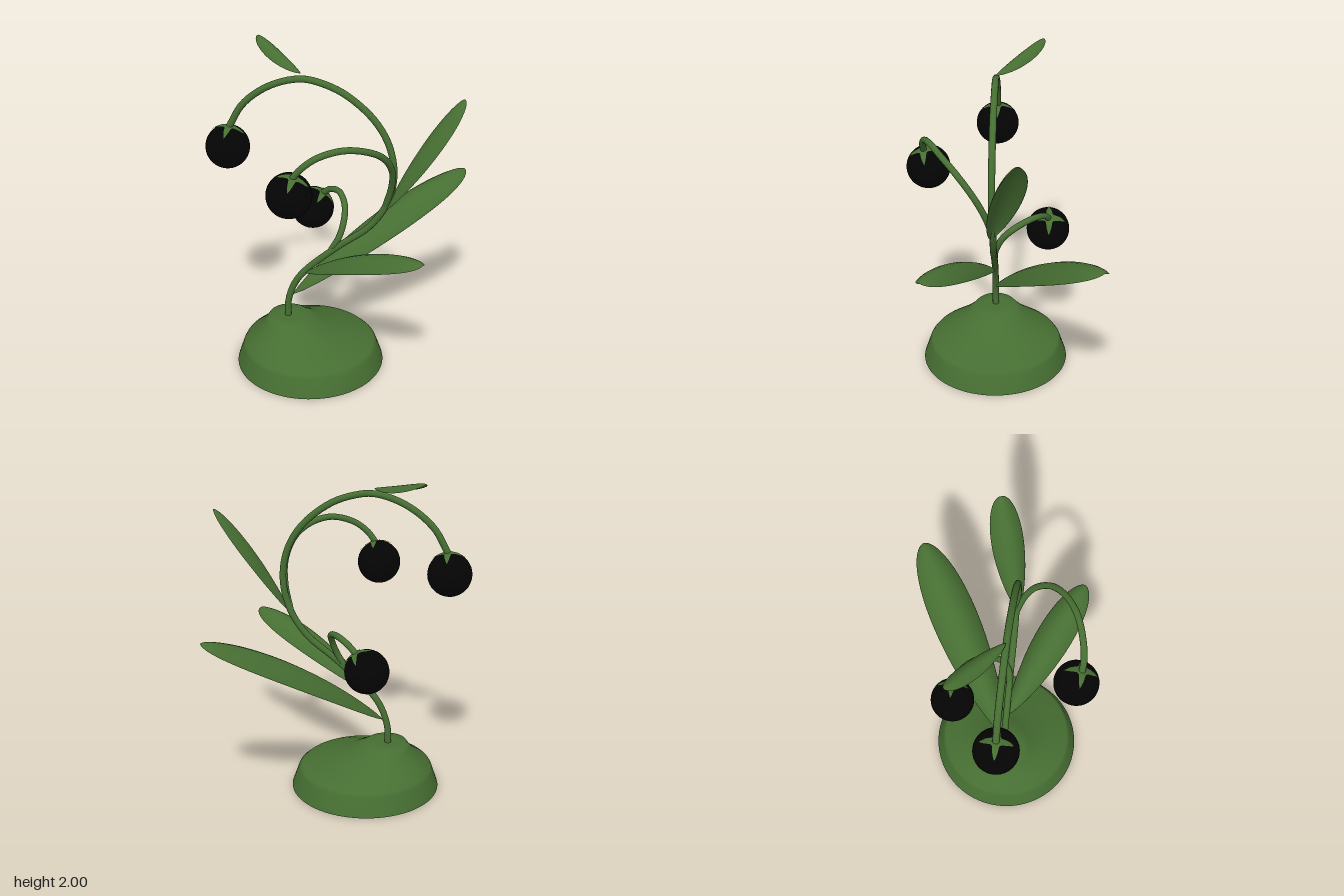
import * as THREE from 'three';

const green = new THREE.MeshStandardMaterial({ color: 0x466e32 });
const greenThin = new THREE.MeshStandardMaterial({ color: 0x466e32, side: THREE.DoubleSide });
const black = new THREE.MeshStandardMaterial({ color: 0x040404 });
const V = (p) => new THREE.Vector3(...p);

function add(parent, name, geometry, material) {
  const mesh = new THREE.Mesh(geometry, material);
  mesh.name = name;
  parent.add(mesh);
}

// Skin a list of closed rings, each with the same number of points
function loft(rings) {
  const n = rings[0].length, index = [];
  for (let i = 0; i < rings.length - 1; i++) {
    for (let j = 0; j < n; j++) {
      const a = i * n + j, b = i * n + (j + 1) % n, c = a + n, d = b + n;
      index.push(a, c, b, b, c, d);
    }
  }
  const g = new THREE.BufferGeometry().setFromPoints(rings.flat());
  g.setIndex(index);
  g.computeVertexNormals();
  return g;
}

// Mound whose rings shift sideways as they rise: [centre x, y, radius]; a doubled ring keeps its edge sharp
function moundGeometry() {
  const z = 0.055;
  const profile = [
    [-0.133, 0, 0], [-0.133, 0, 0.452], [-0.133, 0, 0.452], [-0.134, 0.112, 0.414], [-0.14, 0.132, 0.397],
    [-0.186, 0.17, 0.31], [-0.222, 0.215, 0.226], [-0.248, 0.26, 0.163],
    [-0.265, 0.295, 0.125], [-0.268, 0.295, 0.06], [-0.268, 0.295, 0],
  ];
  return loft(profile.map(([cx, y, r]) => Array.from({ length: 64 }, (_, j) => {
    const a = j / 64 * Math.PI * 2;
    return new THREE.Vector3(cx + r * Math.cos(a), y, z + r * Math.sin(a));
  })));
}

function stemGeometry(points, radius) {
  return new THREE.TubeGeometry(new THREE.CatmullRomCurve3(points.map(V)), 72, radius, 12);
}

// Blade with drooping edges and a rounded tip: base, tip, half width, upward arch of the midrib
function leafGeometry(base, tip, width, arch) {
  const mid = V(base).lerp(V(tip), 0.5);
  mid.y += arch * 2;
  const rib = new THREE.QuadraticBezierCurve3(V(base), mid, V(tip));
  const up = new THREE.Vector3(0, 1, 0), rings = [];
  for (let i = 0; i <= 32; i++) {
    const t = i === 32 ? 1 : Math.sin(i / 32 * Math.PI / 2);
    const p = rib.getPoint(t), d = rib.getTangent(t);
    const side = d.clone().cross(up).normalize();
    const normal = side.clone().cross(d);
    const w = width * Math.pow(t, 0.78) * Math.pow(1 - t, 0.52) / 0.443;
    rings.push(Array.from({ length: 24 }, (_, j) => {
      const a = j / 24 * Math.PI * 2, s = Math.cos(a);
      const lift = w * (0.6 * (0.5 - s * s) + 0.1 * Math.sin(a));
      return p.clone().addScaledVector(side, w * s).addScaledVector(normal, lift);
    }));
  }
  return loft(rings);
}

// Four-pointed star draped over the top of a sphere
function calyxGeometry(radius) {
  const g = new THREE.SphereGeometry(1, 64, 8, 0, Math.PI * 2, 0, 1);
  const pos = g.attributes.position, v = new THREE.Vector3();
  for (let i = 0; i < pos.count; i++) {
    v.fromBufferAttribute(pos, i);
    const phi = Math.atan2(v.z, v.x);
    const point = Math.pow(1 - Math.abs(Math.sin(2 * phi)), 1.5);
    const theta = Math.acos(Math.min(1, v.y)) * (0.26 + 0.56 * point);
    const r = radius * (1.025 + 0.04 * theta * theta);
    pos.setXYZ(i, r * Math.sin(theta) * Math.cos(phi), r * Math.cos(theta), r * Math.sin(theta) * Math.sin(phi));
  }
  g.computeVertexNormals();
  return g;
}

export function createModel() {
  const model = new THREE.Group();

  add(model, 'baseMound', moundGeometry(), green);

  // Stems
  const z = 0.055;
  add(model, 'mainStem', stemGeometry([
    [-0.272, 0.27, z], [-0.268, 0.4, z], [-0.225, 0.53, z], [-0.15, 0.635, z], [0.05, 0.82, z],
    [0.23, 0.97, z], [0.335, 1.14, z], [0.37, 1.33, 0.06], [0.335, 1.51, 0.06], [0.245, 1.655, 0.058],
    [0.087, 1.785, 0.055], [-0.045, 1.84, 0.052], [-0.175, 1.858, 0.05], [-0.36, 1.8, 0.048],
    [-0.52, 1.675, 0.046], [-0.605, 1.53, 0.046],
  ], 0.02), green);
  add(model, 'frontBranch', stemGeometry([
    [0.325, 1.12, z], [0.365, 1.27, 0.1], [0.375, 1.4, 0.165], [0.335, 1.52, 0.26], [0.25, 1.585, 0.345],
    [0.14, 1.607, 0.41], [0.01, 1.57, 0.455], [-0.075, 1.505, 0.472], [-0.122, 1.445, 0.47],
  ], 0.019), green);
  add(model, 'backBranch', stemGeometry([
    [0, 0.785, z], [0.045, 0.87, 0.045], [0.066, 0.96, 0.005], [0.056, 1.025, -0.07],
    [0.0, 1.06, -0.175], [-0.07, 1.04, -0.24], [-0.125, 0.995, -0.268],
  ], 0.019), green);

  // Leaves
  const leaves = [
    ['largeBackLeaf', [-0.245, 0.44, 0.055], [0.71, 1.11, -0.555], 0.152, 0.05],
    ['frontLeaf', [-0.16, 0.61, 0.06], [0.61, 0.975, 0.45], 0.118, 0.045],
    ['upperLeaf', [0.333, 1.1, 0.07], [0.74, 1.76, -0.085], 0.1, 0.015],
    ['topLeaf', [-0.175, 1.89, 0.05], [-0.5, 1.995, -0.23], 0.055, -0.015],
  ];
  for (const [name, base, tip, width, arch] of leaves) {
    add(model, name, leafGeometry(base, tip, width, arch), green);
  }

  // Berries, each with its calyx turned toward the stem end
  const radius = 0.13;
  const berries = [
    ['topBerry', [-0.62, 1.4, 0.048], [0.015, 0.13, 0]],
    ['frontBerry', [-0.15, 1.325, 0.447], [0.035, 0.13, 0.025]],
    ['backBerry', [-0.188, 0.89, -0.267], [0.068, 0.11, -0.005]],
  ];
  for (const [name, centre, axis] of berries) {
    const berry = new THREE.Group();
    berry.name = name;
    berry.position.copy(V(centre));
    berry.quaternion.setFromUnitVectors(new THREE.Vector3(0, 1, 0), V(axis).normalize());
    add(berry, 'fruit', new THREE.SphereGeometry(radius, 40, 28), black);
    add(berry, 'calyx', calyxGeometry(radius), greenThin);
    model.add(berry);
  }
  return model;
}
